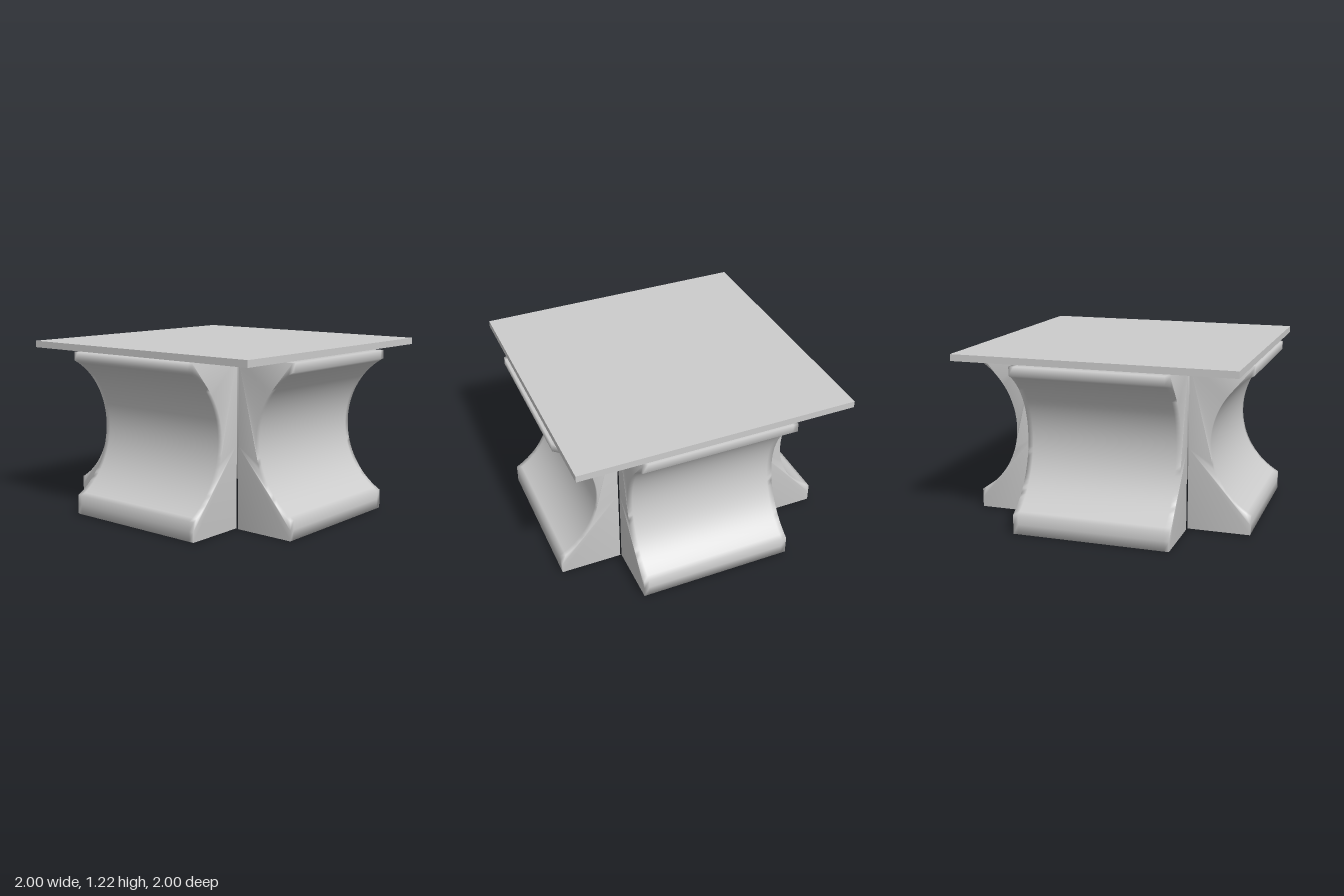
import * as THREE from 'three';
import { mergeVertices } from 'three/addons/utils/BufferGeometryUtils.js';

const INNER = 0.56, OUTER = 1, HALF_WIDTH = 0.553, HEIGHT = 1.165;

// Block profile: flat back, thin lips top and bottom, circular scoop on the outside
function blockGeometry() {
  const radius = 0.55, cx = 1.26, cy = 0.62;
  const a = Math.acos((cx - OUTER) / radius);
  const shape = new THREE.Shape();
  shape.moveTo(INNER, 0);
  shape.lineTo(OUTER, 0);
  shape.lineTo(OUTER, 0.07);
  const steps = 32;
  for (let i = 0; i <= steps; i++) {
    const t = -a + (2 * a * i) / steps;
    shape.lineTo(cx - radius * Math.cos(t), cy + radius * Math.sin(t));
  }
  shape.lineTo(OUTER, HEIGHT);
  shape.lineTo(INNER, HEIGHT);
  shape.lineTo(INNER, 0.58);

  const geo = new THREE.ExtrudeGeometry(shape, { depth: 2 * HALF_WIDTH, steps: 30, bevelEnabled: false });
  geo.translate(0, 0, -HALF_WIDTH);
  // Weld so that shading runs softly over the edges
  geo.deleteAttribute('normal');
  geo.deleteAttribute('uv');
  const welded = mergeVertices(geo, 1e-4);
  welded.computeVertexNormals();
  return welded;
}

export function createModel() {
  const group = new THREE.Group();
  const material = new THREE.MeshStandardMaterial({ color: 0xcccccc });

  // Four scooped blocks around an open centre
  const geo = blockGeometry();
  ['leftBlock', 'backBlock', 'rightBlock', 'frontBlock'].forEach((name, i) => {
    const block = new THREE.Mesh(geo, material);
    block.name = name;
    block.rotation.y = (i * Math.PI) / 2;
    if (i % 2 === 0) block.position.y = 0.007;
    group.add(block);
  });

  // Thin square top
  const top = new THREE.Mesh(new THREE.BoxGeometry(1.972, 0.047, 1.972), material);
  top.name = 'tableTop';
  top.position.y = 1.199;
  group.add(top);
  return group;
}
